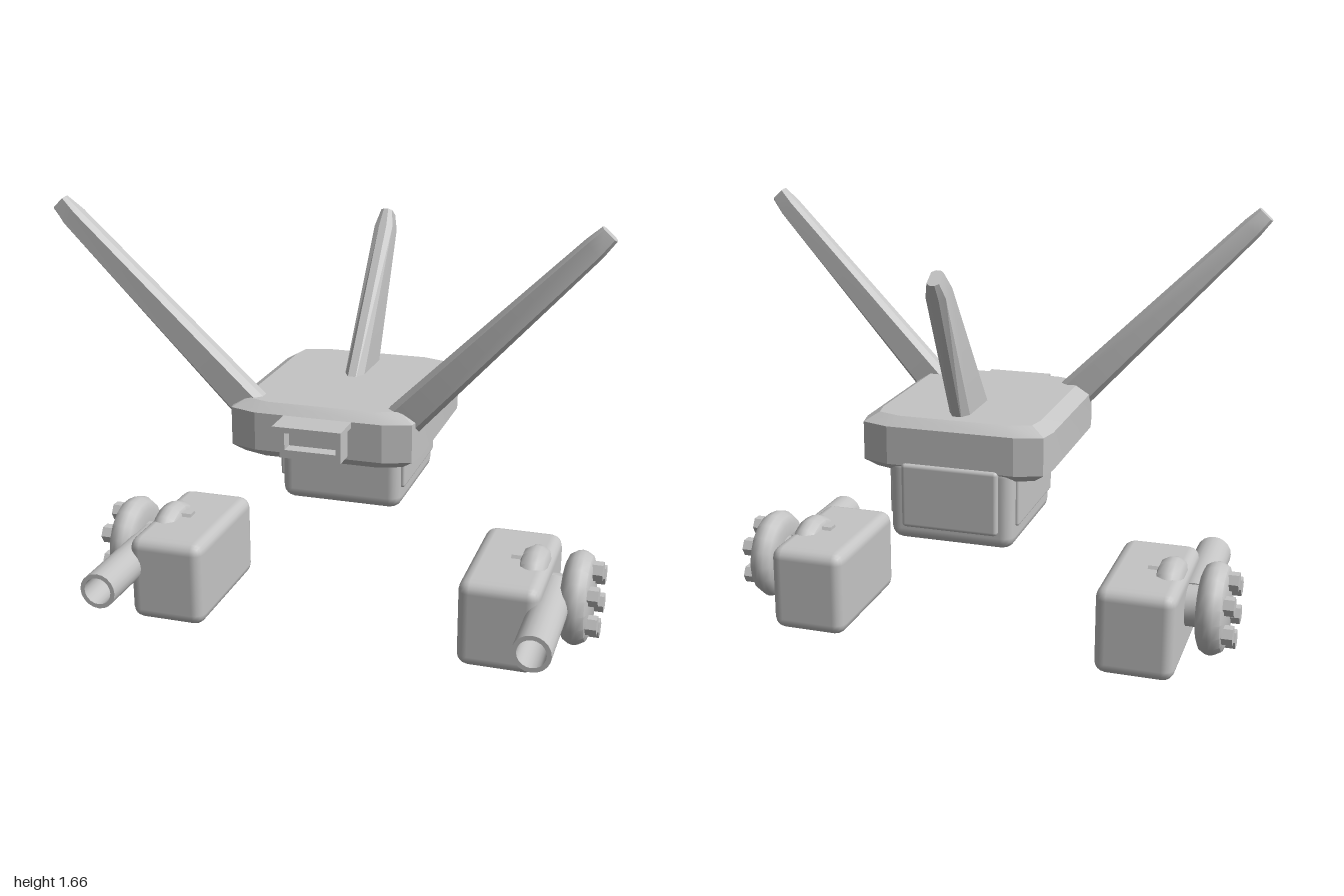
import * as THREE from 'three';
import { toCreasedNormals } from 'three/addons/utils/BufferGeometryUtils.js';
import { RoundedBoxGeometry } from 'three/addons/geometries/RoundedBoxGeometry.js';

const V = (x, y, z) => new THREE.Vector3(x, y, z);

// Closed skin through matching rings of points, with flat end caps.
function loft(rings) {
  const tris = [], n = rings[0].length;
  for (let r = 0; r < rings.length - 1; r++) {
    for (let i = 0; i < n; i++) {
      const j = (i + 1) % n;
      const a = rings[r][i], b = rings[r][j], c = rings[r + 1][j], d = rings[r + 1][i];
      tris.push([a, b, c], [a, c, d]);
    }
  }
  const first = rings[0], last = rings[rings.length - 1];
  for (let i = 1; i < n - 1; i++) {
    tris.push([first[0], first[i + 1], first[i]], [last[0], last[i], last[i + 1]]);
  }
  // turn every face outwards
  const volume = tris.reduce((s, [a, b, c]) => s + a.dot(b.clone().cross(c)), 0);
  const pos = tris.flatMap(([a, b, c]) => (volume > 0 ? [a, b, c] : [a, c, b])).flatMap((p) => p.toArray());
  const g = new THREE.BufferGeometry();
  g.setAttribute('position', new THREE.Float32BufferAttribute(pos, 3));
  return toCreasedNormals(g, 0.3);
}

// Bevelled fin: each section runs from edge a to edge b, with half thickness t along dir.
function fin(sections, dir) {
  return loft(sections.map(([a, b, t]) => {
    const at = (f, k) => a.clone().lerp(b, f).addScaledVector(dir, k * t);
    return [at(0, 0.4), at(0.14, 1), at(0.86, 1), at(1, 0.4),
      at(1, -0.4), at(0.86, -1), at(0.14, -1), at(0, -0.4)];
  }));
}

export function createModel() {
  const root = new THREE.Group();
  const grey = new THREE.MeshStandardMaterial({ color: 0xc4c4c4 });
  grey.name = 'grey';
  const add = (parent, name, geometry, x = 0, y = 0, z = 0) => {
    const m = new THREE.Mesh(geometry, grey);
    m.name = name;
    m.position.set(x, y, z);
    parent.add(m);
    return m;
  };
  // box given by its limits, rounded when r is set
  const box = (parent, name, [x0, x1], [y0, y1], [z0, z1], r = 0) => {
    const s = [Math.abs(x1 - x0), y1 - y0, z1 - z0];
    const g = r ? new RoundedBoxGeometry(...s, 2, r) : new THREE.BoxGeometry(...s);
    return add(parent, name, g, (x0 + x1) / 2, (y0 + y1) / 2, (z0 + z1) / 2);
  };

  // bevelled body plate with slightly bowed edges
  const quarter = [[0.35, 0.28], [0.335, 0.355], [0.235, 0.388]];
  const half = [...quarter, ...[...quarter].reverse().map(([x, z]) => [-x, z])];
  const outline = [...half, ...half.map(([x, z]) => [-x, -z])];
  const levels = [[0.76, 0.88, 0.92], [0.79, 1, 1], [0.93, 1, 1], [0.963, 0.85, 0.91]];
  add(root, 'bodyPlate', loft(levels.map(([y, sx, sz]) => outline.map(([x, z]) => V(x * sx, y, z * sz)))));

  // lower housing with side and back panels
  box(root, 'lowerHousing', [-0.232, 0.232], [0.505, 0.82], [-0.385, 0.132], 0.045);
  box(root, 'backPanel', [-0.18, 0.18], [0.56, 0.80], [-0.4, -0.34], 0.015);
  for (const s of [1, -1]) {
    box(root, 'sidePanel', [s * 0.2, s * 0.244], [0.588, 0.77], [-0.34, 0.1], 0.01);
  }

  // open front box under a small hood
  const intake = new THREE.Group();
  intake.name = 'frontIntake';
  root.add(intake);
  box(intake, 'hood', [-0.125, 0.125], [0.91, 0.93], [0.33, 0.51]);
  box(intake, 'intakeFloor', [-0.112, 0.112], [0.803, 0.833], [0.33, 0.47]);
  box(intake, 'intakeBack', [-0.1, 0.1], [0.82, 0.92], [0.33, 0.42]);
  for (const s of [1, -1]) {
    box(intake, 'intakeSide', [s * 0.094, s * 0.112], [0.82, 0.92], [0.33, 0.47]);
  }

  // tall side fins leaning outwards
  for (const s of [1, -1]) {
    const section = (x, y, z, w, t) =>
      [V(s * (x + 0.74 * w), y - 0.68 * w, z), V(s * (x - 0.74 * w), y + 0.68 * w, z), t];
    add(root, s > 0 ? 'leftFin' : 'rightFin', fin([
      section(0.27, 0.905, 0.283, 0.066, 0.042),
      section(0.925, 1.585, 0.34, 0.04, 0.038),
      section(0.972, 1.635, 0.345, 0.033, 0.02),
    ], V(0, 0, 1)));
  }

  // raked rear fin
  add(root, 'rearFin', fin([
    [V(0, 0.9, 0.03), V(0, 0.9, -0.275), 0.038],
    [V(0, 1.46, -0.432), V(0, 1.425, -0.522), 0.036],
    [V(0, 1.518, -0.48), V(0, 1.478, -0.546), 0.022],
  ], V(1, 0, 0)));

  // spool profile: two rounded discs joined by a hub, along its axis
  const disc = [[0, 0.135], [0.135, 0.135], [0.16, 0.125], [0.174, 0.1], [0.178, 0.083],
    [0.174, 0.065], [0.16, 0.042], [0.13, 0.03], [0.08, 0.03]];
  const spool = [...disc.map(([r, h]) => [r, -h]), ...[...disc].reverse()];
  const spoolGeo = toCreasedNormals(
    new THREE.LatheGeometry(spool.map(([r, h]) => new THREE.Vector2(r, h)), 18), 0.7);
  const boltGeo = toCreasedNormals(new THREE.CylinderGeometry(0.037, 0.037, 0.07, 6), 0.3);

  // hollow barrel profile
  const barrel = [[0, 0], [0.07, 0], [0.07, 0.5], [0.053, 0.5], [0.053, 0.3], [0, 0.3]];
  const barrelGeo = toCreasedNormals(
    new THREE.LatheGeometry(barrel.map(([r, h]) => new THREE.Vector2(r, h)), 20), 0.7);

  // side pods, each with a bolted spool and a forward barrel
  for (const s of [1, -1]) {
    const pod = new THREE.Group();
    pod.name = s > 0 ? 'leftPod' : 'rightPod';
    root.add(pod);
    box(pod, 'podBody', [s * 0.497, s * 0.798], [0, 0.34], [-0.238, 0.32], 0.045);
    add(pod, 'podSpool', spoolGeo, s * 0.816, 0.205, 0.035).rotation.z = Math.PI / 2;
    for (const end of [1, -1]) {
      for (let i = 0; i < 6; i++) {
        const a = Math.PI / 6 + i * Math.PI / 3;
        const bolt = add(pod, 'bolt', boltGeo, s * 0.816 + end * 0.135,
          0.205 + 0.115 * Math.sin(a), 0.035 + 0.115 * Math.cos(a));
        bolt.rotation.z = Math.PI / 2;
      }
    }
    add(pod, 'barrel', barrelGeo, s * 0.815, 0.22, 0.048).rotation.x = Math.PI / 2;
  }
  return root;
}
